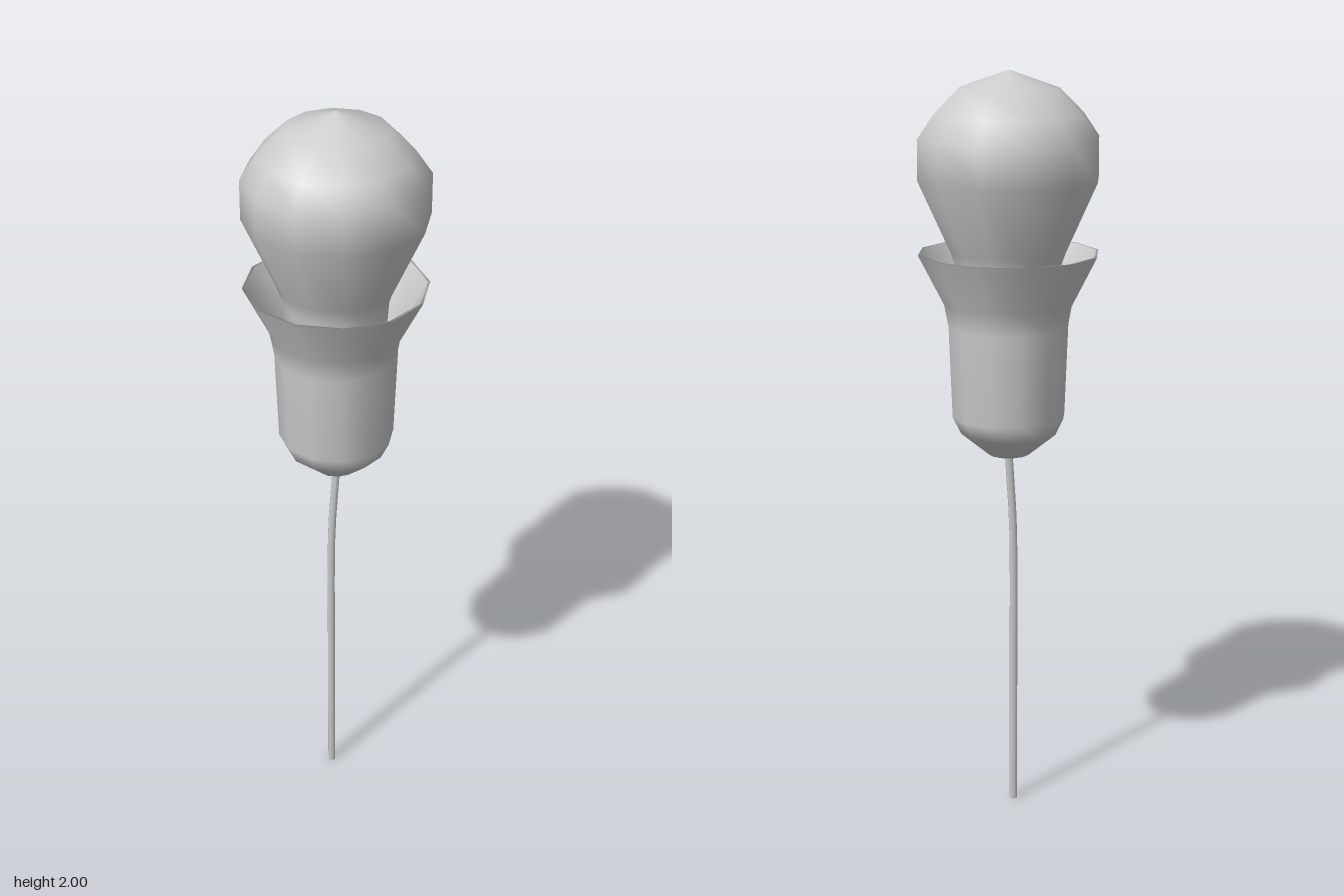
import * as THREE from 'three';

const SIDES = 12;

// Turned part from [radius, height] pairs
function turned(name, profile, material) {
  const points = profile.map(([r, y]) => new THREE.Vector2(r, y));
  const mesh = new THREE.Mesh(new THREE.LatheGeometry(points, SIDES), material);
  mesh.name = name;
  return mesh;
}

export function createModel() {
  const group = new THREE.Group();
  group.name = 'lightBulbOnCord';
  const material = new THREE.MeshStandardMaterial({ color: 0xcccccc, side: THREE.DoubleSide });

  // Glass bulb, with its neck reaching down into the socket
  group.add(turned('bulb', [
    [0.125, 1.36], [0.135, 1.49], [0.152, 1.54], [0.236, 1.725],
    [0.236, 1.83], [0.195, 1.89], [0.132, 1.953], [0, 2],
  ], material));

  // Flared socket: outside wall, thin rim, then the inside wall and floor
  group.add(turned('socket', [
    [0, 1], [0.055, 1], [0.128, 1.06], [0.15, 1.105], [0.159, 1.345],
    [0.17, 1.405], [0.237, 1.536], [0.23, 1.536], [0.162, 1.405],
    [0.148, 1.345], [0, 1.34],
  ], material));

  // Cord, bent a little below the socket
  const path = new THREE.CatmullRomCurve3([
    new THREE.Vector3(0, 1.04, 0),
    new THREE.Vector3(0, 0.98, 0.003),
    new THREE.Vector3(-0.007, 0.8, 0.014),
    new THREE.Vector3(-0.008, 0.4, 0.016),
    new THREE.Vector3(-0.007, 0, 0.017),
  ]);
  const cord = new THREE.Mesh(new THREE.TubeGeometry(path, 16, 0.011, 6), material);
  cord.name = 'cord';
  group.add(cord);

  // Cap on the free end of the cord
  const cap = new THREE.Mesh(new THREE.CircleGeometry(0.0105, 6), material);
  cap.name = 'cordEnd';
  cap.rotation.x = Math.PI / 2;
  cap.position.set(-0.007, 0, 0.017);
  group.add(cap);

  return group;
}
